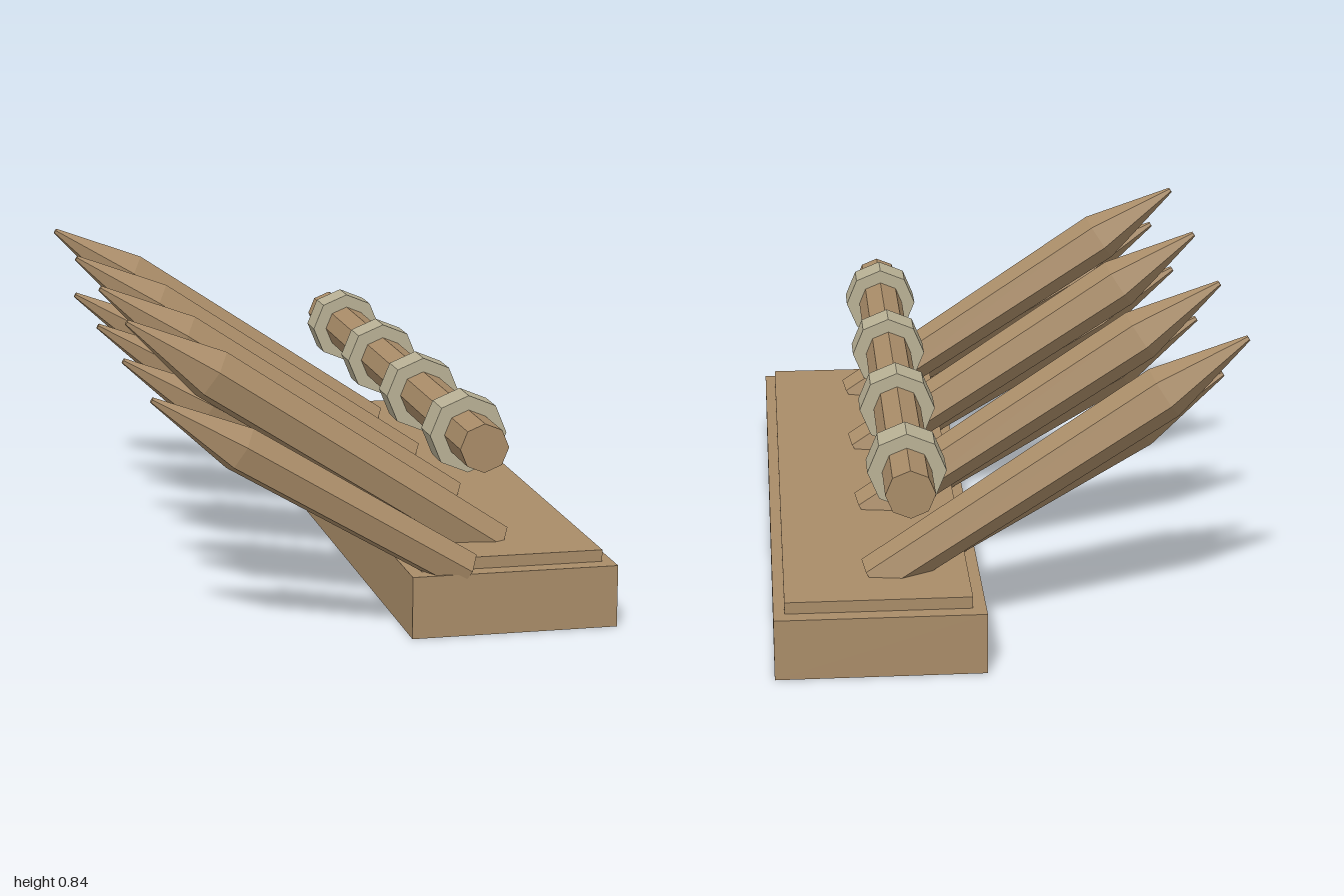
import * as THREE from 'three';

export function createModel() {
  const model = new THREE.Group();
  model.name = 'spikeBarricade';
  const wood = new THREE.MeshStandardMaterial({ color: 0xa98c68, flatShading: true });
  wood.name = 'wood';
  const binding = new THREE.MeshStandardMaterial({ color: 0xb9b195, flatShading: true });
  binding.name = 'paleBinding';

  function add(name, geometry, material, x, y, z) {
    const mesh = new THREE.Mesh(geometry, material);
    mesh.name = name;
    mesh.position.set(x, y, z);
    model.add(mesh);
    return mesh;
  }

  // Stepped plank base
  add('base', new THREE.BoxGeometry(0.56, 0.168, 1.982), wood, 0.355, 0.084, -0.009);
  add('baseTop', new THREE.BoxGeometry(0.495, 0.04, 1.89), wood, 0.358, 0.18, -0.011);

  // Octagonal rail along z, and the collars around it
  const rod = (radius, length) => new THREE.CylinderGeometry(radius, radius, length, 8).rotateX(Math.PI / 2);
  add('rail', rod(0.066, 1.923), wood, 0.273, 0.498, -0.01);

  // Six-sided stake from tail through shoulder to a blunt point
  function stake(name, z, tail, shoulder, tip, radius) {
    const a = new THREE.Vector2(...tail);
    const dir = new THREE.Vector2(...tip).sub(a);
    const length = dir.length();
    const body = new THREE.Vector2(...shoulder).sub(a).length();
    const profile = [[0, 0], [radius * 0.87, 0], [radius, body], [0.008, length], [0, length]]
      .map(([r, y]) => new THREE.Vector2(r, y));
    const geometry = new THREE.LatheGeometry(profile, 6, Math.PI / 12);
    const mesh = add(name, geometry, wood, tail[0], tail[1], z);
    mesh.rotation.z = Math.atan2(dir.y, dir.x) - Math.PI / 2;
  }

  // Four repeats of collar, long stake and short stake
  for (let i = 0; i < 4; i++) {
    const z = 0.736 - i * 0.496;
    add('collar', rod(0.105, 0.098), binding, 0.273, 0.498, z);
    stake('longStake', z, [0.36, 0.174], [-0.411, 0.686], [-0.635, 0.829], 0.074);
    stake('shortStake', z + 0.197, [0.227, 0.163], [-0.374, 0.526], [-0.602, 0.664], 0.066);
  }
  return model;
}
